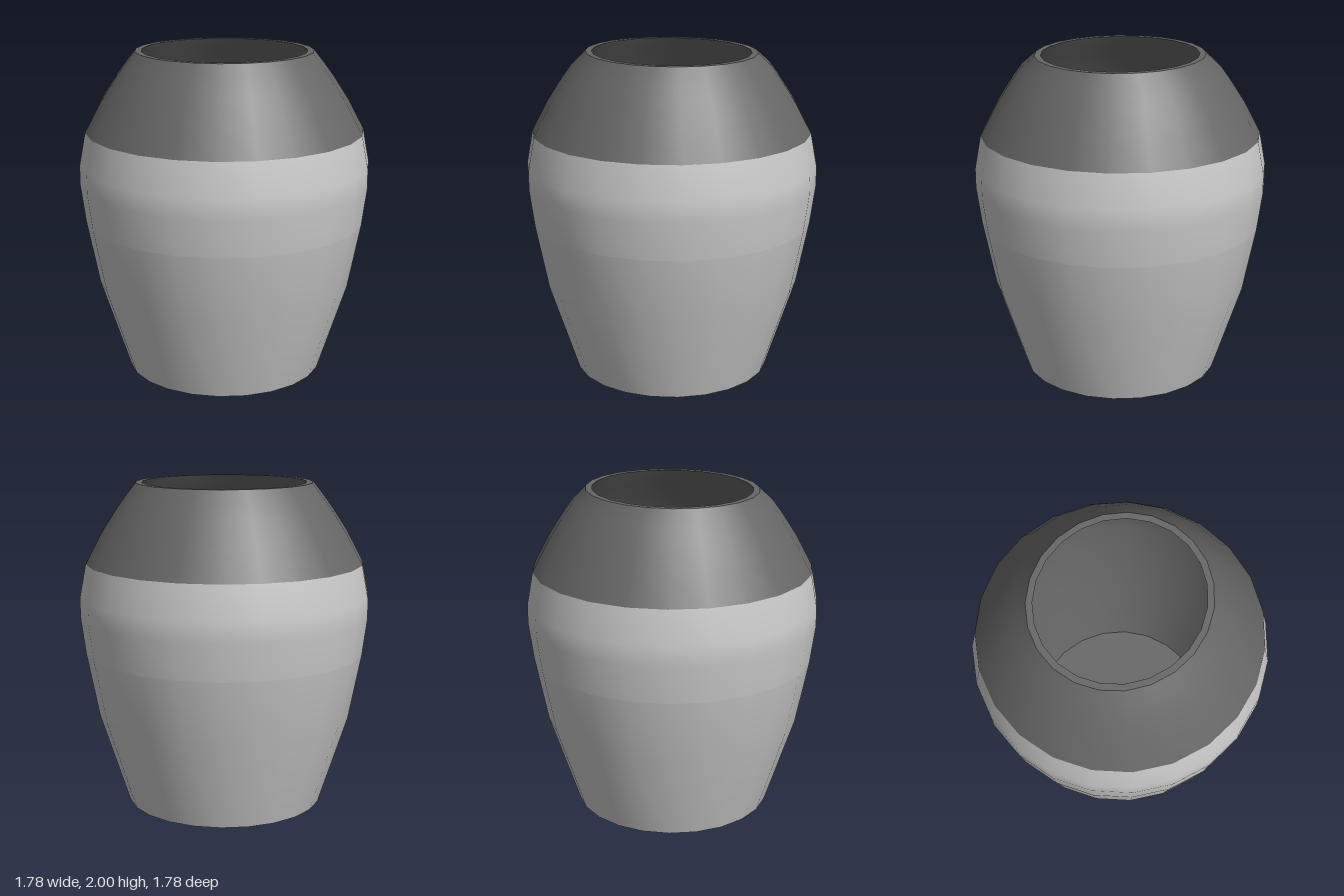
import * as THREE from 'three';

const SEGMENTS = 23;
const RIM_SQUASH = 0.943; // the mouth is slightly oval

// Smooth turned surface; points run so that its front lies to the right of the path
function turned(name, profile, material) {
  const points = profile.map(([r, y]) => new THREE.Vector2(r, y));
  const geometry = new THREE.LatheGeometry(points, SEGMENTS, Math.PI / 2);
  const position = geometry.attributes.position;
  for (let i = 0; i < position.count; i++) {
    if (position.getY(i) > 1.95) position.setZ(i, position.getZ(i) * RIM_SQUASH);
  }
  const mesh = new THREE.Mesh(geometry, material);
  mesh.name = name;
  return mesh;
}

export function createModel() {
  const group = new THREE.Group();
  group.name = 'vase';
  const clay = new THREE.MeshStandardMaterial({ color: 0xcccccc });
  const glaze = new THREE.MeshStandardMaterial({ color: 0x666666 });

  const body = new THREE.Group();
  body.name = 'body';
  body.position.x = -0.004; // odd side count shifts the centre
  group.add(body);

  body.add(
    // Unglazed outside
    turned('base', [[0, 0], [0.605, 0]], clay),
    turned('lowerBody', [[0.605, 0], [0.785, 0.56], [0.862, 0.96]], clay),
    turned('upperBody', [[0.862, 0.96], [0.892, 1.19], [0.892, 1.31], [0.853, 1.515]], clay),
    // Dark shoulder and rim
    turned('shoulder', [[0.853, 1.515], [0.755, 1.7], [0.664, 1.84], [0.606, 1.92], [0.543, 2]], glaze),
    turned('rim', [[0.543, 2], [0.503, 2]], glaze),
    // Hollow inside
    turned('innerWall', [
      [0.503, 2], [0.57, 1.9], [0.63, 1.82], [0.72, 1.68], [0.815, 1.5],
      [0.852, 1.31], [0.852, 1.19], [0.822, 0.96], [0.745, 0.56], [0.577, 0.04],
    ], glaze),
    turned('innerFloor', [[0.577, 0.04], [0, 0.04]], glaze),
  );
  return group;
}
